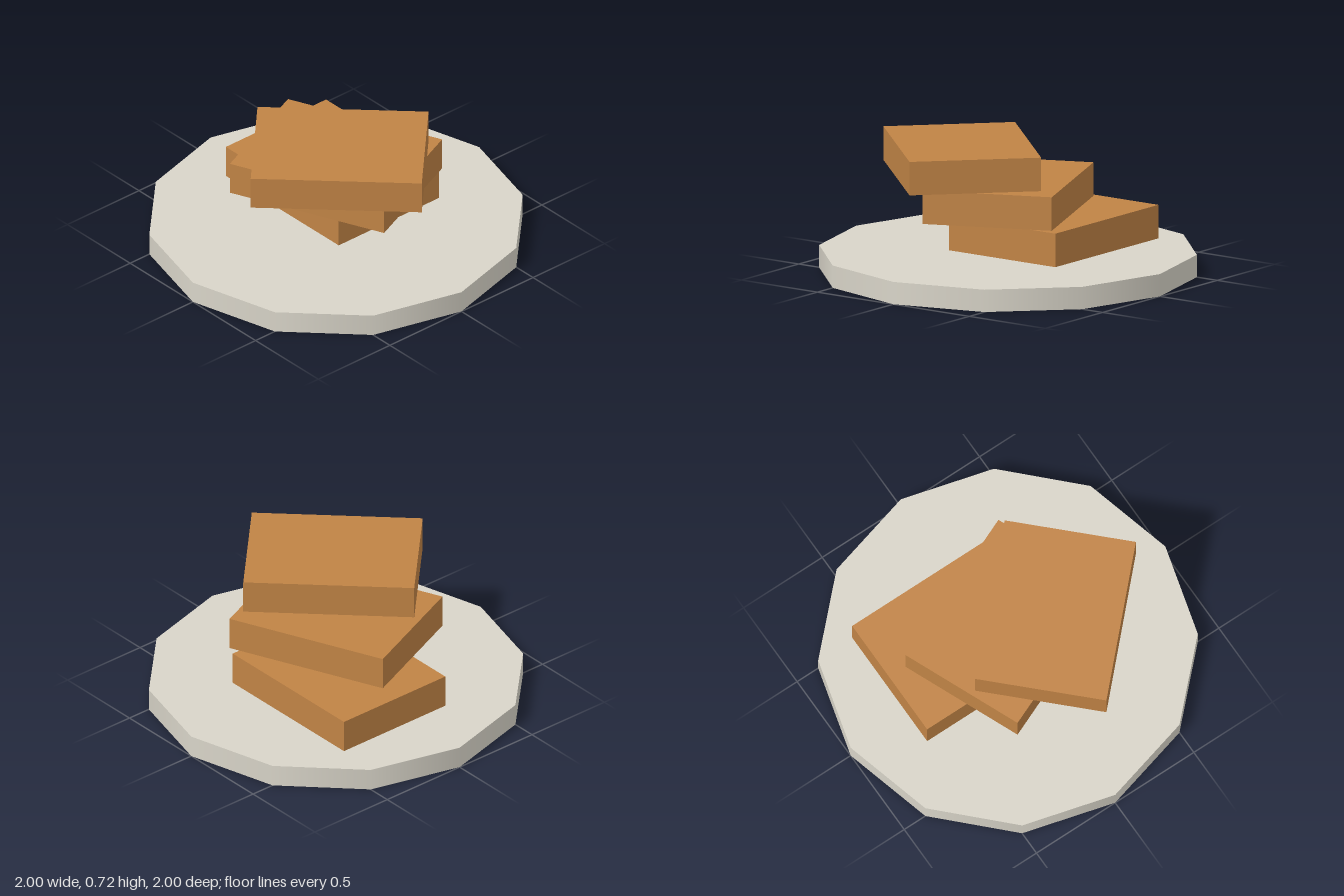
import * as THREE from 'three';

export function createModel() {
  const model = new THREE.Group();
  model.name = 'stackedBlocksOnPlate';

  const stone = new THREE.MeshStandardMaterial({ name: 'paleStone', color: 0xd8d4c8 });
  const wood = new THREE.MeshStandardMaterial({ name: 'warmWood', color: 0xc08345 });

  // Twelve-sided plate with a smooth-shaded rim
  const plate = new THREE.Mesh(new THREE.CylinderGeometry(1, 1, 0.12, 12), stone);
  plate.name = 'plate';
  plate.position.y = 0.06;
  model.add(plate);

  // Three equal blocks, each shifted and turned further than the one below
  const blockGeometry = new THREE.BoxGeometry(0.9, 0.18, 0.7);
  const names = ['lowerBlock', 'middleBlock', 'upperBlock'];
  names.forEach((name, i) => {
    const block = new THREE.Mesh(blockGeometry, wood);
    block.name = name;
    block.position.set((i - 1) * 0.2, 0.225 + i * 0.2, (i - 1) * 0.15);
    block.rotation.y = i * 0.4;
    model.add(block);
  });

  return model;
}
